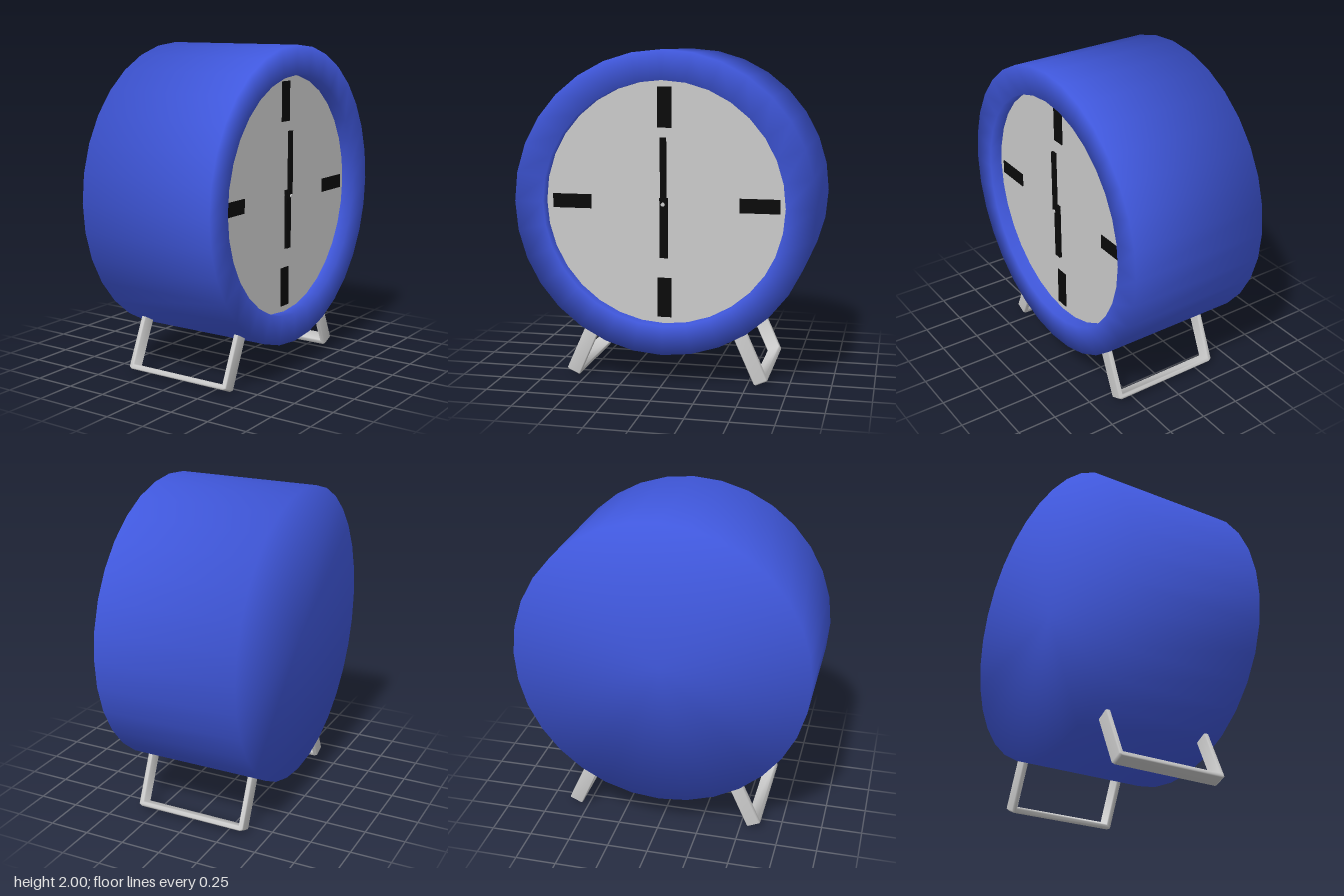
import * as THREE from 'three';
import { mergeVertices } from 'three/addons/utils/BufferGeometryUtils.js';

const CENTER_Y = 1.095, RADIUS = 0.906, LIP = 0.73, HALF = 0.45, FACE_X = 0.37;

const material = (color) => new THREE.MeshStandardMaterial({ color });

function addMesh(parent, name, geometry, mat, x = 0, y = 0, z = 0) {
  const mesh = new THREE.Mesh(geometry, mat);
  mesh.name = name;
  mesh.position.set(x, y, z);
  parent.add(mesh);
  return mesh;
}

// U-shaped flat strip with chamfered lower corners, smooth shaded
function legGeometry() {
  const w = 0.36, t = 0.033, h = 0.36, c = 0.015, bevel = 0.006, depth = 0.075;
  const o = w - bevel, i = w - t + bevel;
  const shape = new THREE.Shape([
    [-o, h], [-o, c], [-o + c, bevel], [o - c, bevel], [o, c], [o, h],
    [i, h], [i, t - bevel], [-i, t - bevel], [-i, h],
  ].map(([x, y]) => new THREE.Vector2(x, y)));
  const g = new THREE.ExtrudeGeometry(shape, {
    depth, bevelEnabled: true, bevelThickness: bevel, bevelSize: bevel, bevelSegments: 1,
  });
  g.translate(0, 0, -depth / 2);
  g.deleteAttribute('normal');
  g.deleteAttribute('uv');
  const smooth = mergeVertices(g);
  smooth.computeVertexNormals();
  return smooth;
}

export function createModel() {
  const model = new THREE.Group();
  model.name = 'alarmClock';
  const blue = material(0x4058dd), grey = material(0xcccccc), black = material(0x0a0a0a);

  // Drum: closed back, side wall, front rim and recessed lip in one smooth profile
  const profile = [[0, -HALF], [RADIUS, -HALF], [RADIUS, HALF], [LIP, HALF], [LIP, FACE_X - 0.01]]
    .map(([r, y]) => new THREE.Vector2(r, y));
  const body = addMesh(model, 'body', new THREE.LatheGeometry(profile, 32), blue, 0, CENTER_Y);
  body.rotation.z = -Math.PI / 2;

  // Dial, looking along +x
  const dial = new THREE.Group();
  dial.name = 'dial';
  dial.position.set(FACE_X, CENTER_Y, 0);
  model.add(dial);
  const face = addMesh(dial, 'face', new THREE.CircleGeometry(LIP, 32), grey);
  face.rotation.y = Math.PI / 2;

  // Plain marks at the four quarter hours
  for (let q = 0; q < 4; q++) {
    const a = q * Math.PI / 2;
    const mark = addMesh(dial, 'hourMark', new THREE.BoxGeometry(0.006, 0.24, 0.085), black,
      0.003, 0.57 * Math.cos(a), -0.57 * Math.sin(a));
    mark.rotation.x = -a;
  }

  // Hands and pivot
  addMesh(dial, 'hourHand', new THREE.BoxGeometry(0.015, 0.36, 0.05), black, 0.022, -0.145, 0);
  addMesh(dial, 'minuteHand', new THREE.BoxGeometry(0.015, 0.41, 0.036), black, 0.037, 0.19, 0);
  const pivot = addMesh(dial, 'pivot', new THREE.CylinderGeometry(0.012, 0.012, 0.05, 12), grey, 0.027);
  pivot.rotation.z = -Math.PI / 2;

  // Splayed legs on both sides
  const leg = legGeometry();
  for (const side of [1, -1]) {
    const mesh = addMesh(model, side > 0 ? 'frontLeg' : 'backLeg', leg, grey, 0, 0.018, side * 0.587);
    mesh.rotation.x = -side * 0.42;
  }
  return model;
}
